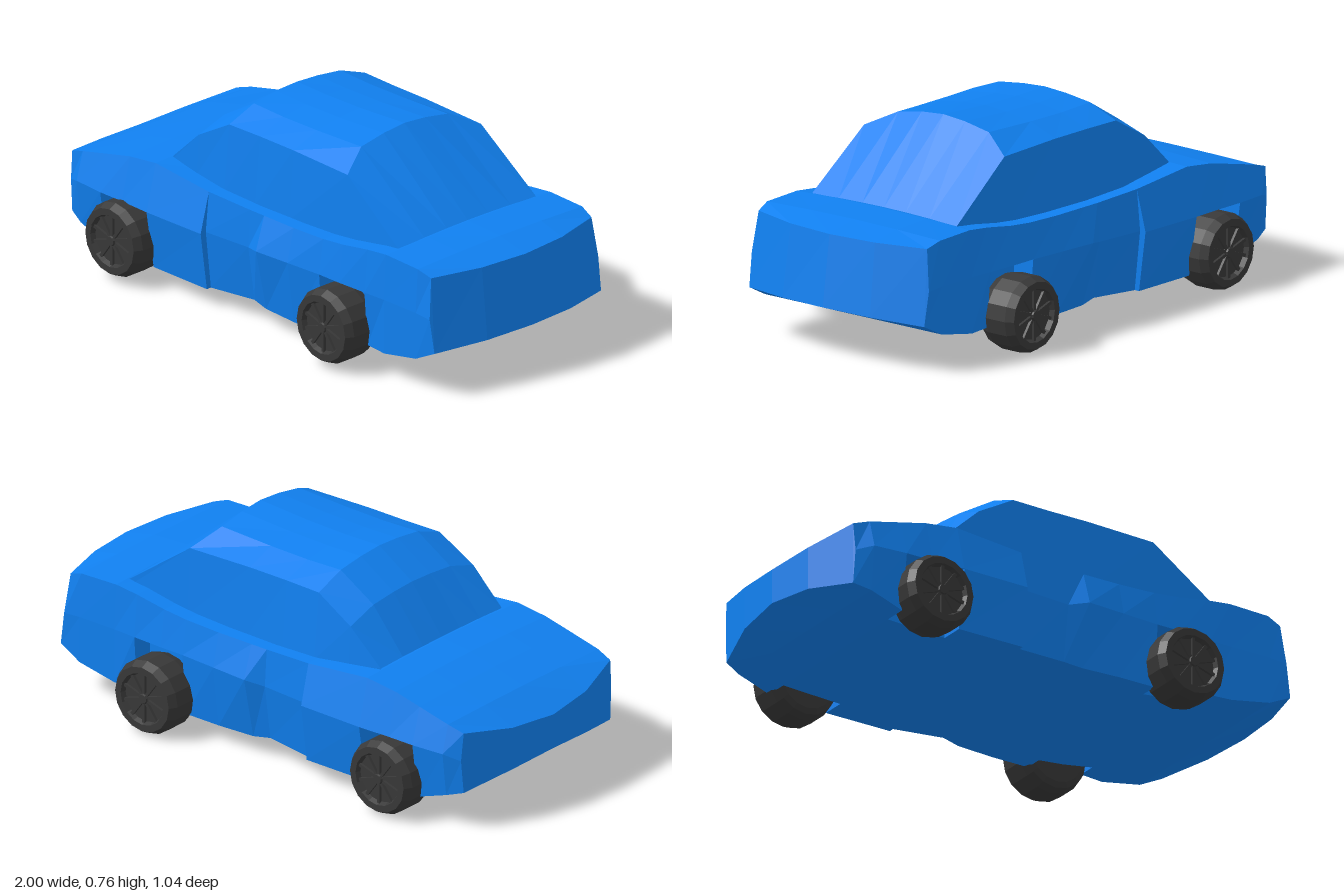
import * as THREE from 'three';

const blue = new THREE.MeshStandardMaterial({ color: 0x1080f0, flatShading: true });
const dark = new THREE.MeshStandardMaterial({ color: 0x383838, flatShading: true });

// Builds a faceted mesh from quads given as four corners, counter-clockwise.
function meshFromQuads(name, quads, material) {
  const pos = [];
  for (const [a, b, c, d] of quads) {
    for (const p of [a, b, c, a, c, d]) pos.push(...p);
  }
  const geometry = new THREE.BufferGeometry();
  geometry.setAttribute('position', new THREE.Float32BufferAttribute(pos, 3));
  geometry.computeVertexNormals();
  const mesh = new THREE.Mesh(geometry, material);
  mesh.name = name;
  return mesh;
}

const flip = ([x, y, z]) => [x, y, -z];

// Skins half cross-sections (running upwards on +z) and mirrors them to -z.
function loftHalf(rings) {
  const quads = [];
  for (let i = 0; i < rings.length - 1; i++) {
    for (let j = 0; j < rings[i].length - 1; j++) {
      quads.push([rings[i][j], rings[i + 1][j], rings[i + 1][j + 1], rings[i][j + 1]]);
    }
  }
  return quads;
}
const mirrored = (quads) => [...quads, ...quads.map((q) => q.map(flip).reverse())];

// Closes an end by joining the lower half of a ring to its upper half.
function capHalf(ring, reverse) {
  const quads = [];
  const last = ring.length - 1;
  for (let i = 0; i < last / 2 - 0.5; i++) {
    const q = [ring[i], ring[i + 1], ring[last - i - 1], ring[last - i]];
    quads.push(reverse ? q.reverse() : q);
  }
  return quads;
}

// One body section; arch narrows everything below the waist for a wheel well.
function bodyRing({ x, top, crown = 0, wTop, wMid, wBot, bot, belly = 0, waist = 0.3, arch = false, bow = 0, lean = 0 }) {
  const low = arch ? 0.33 : wBot;
  const inner = arch ? 0.33 : wMid;
  const half = [
    [bot + belly, 0], [bot + belly * 0.7, low * 0.5], [bot, low], [waist, inner],
    [waist, wMid], [top, wTop], [top + crown * 0.7, wTop * 0.5], [top + crown, 0],
  ];
  return half.map(([y, z]) => [x + bow * (1 - (z / wMid) ** 2) + lean * (top - y), y, z]);
}

function createBody() {
  const front = { wTop: 0.41, wMid: 0.45, wBot: 0.42, waist: 0.29 };
  const rear = { wTop: 0.4, wMid: 0.42, wBot: 0.4, waist: 0.305 };
  const sections = [
    // nose and bonnet
    { x: -0.92, top: 0.375, crown: -0.045, wTop: 0.4, wMid: 0.41, wBot: 0.4, bot: 0.145, belly: 0.055, waist: 0.27, bow: -0.08 },
    { ...front, x: -0.86, top: 0.395, crown: 0.005, wMid: 0.44, bot: 0.125 },
    { ...front, x: -0.73, top: 0.425, crown: 0.01, bot: 0.08 },
    { ...front, x: -0.73, top: 0.425, crown: 0.01, bot: 0.08, arch: true },
    { ...front, x: -0.62, top: 0.45, crown: 0.01, bot: 0.075, arch: true },
    { ...front, x: -0.49, top: 0.465, crown: 0.01, wMid: 0.455, bot: 0.07, arch: true },
    { ...front, x: -0.49, top: 0.465, crown: 0.01, wMid: 0.455, bot: 0.07 },
    // doors
    { ...front, x: -0.22, top: 0.44, wMid: 0.45, bot: 0.07 },
    { ...front, x: -0.22, top: 0.44, wMid: 0.425, wBot: 0.4, bot: 0.07 },
    { ...front, x: -0.02, top: 0.43, wTop: 0.4, wMid: 0.41, wBot: 0.38, bot: 0.08 },
    { ...rear, x: 0.05, top: 0.43, wMid: 0.44, wBot: 0.39, bot: 0.07 },
    { ...rear, x: 0.2, top: 0.43, wMid: 0.43, bot: 0.07 },
    // rear wheels and boot
    { ...rear, x: 0.35, top: 0.435, bot: 0.07 },
    { ...rear, x: 0.35, top: 0.435, bot: 0.07, arch: true },
    { ...rear, x: 0.45, top: 0.445, bot: 0.08, arch: true },
    { ...rear, x: 0.575, top: 0.465, wMid: 0.415, bot: 0.1, arch: true },
    { ...rear, x: 0.575, top: 0.465, wMid: 0.415, bot: 0.1 },
    { ...rear, x: 0.67, top: 0.475, crown: 0.01, wMid: 0.41, wBot: 0.41, bot: 0.1 },
    { ...rear, x: 0.83, top: 0.47, crown: 0.008, wMid: 0.41, wBot: 0.41, bot: 0.13 },
    { x: 0.88, top: 0.45, wTop: 0.39, wMid: 0.41, wBot: 0.405, bot: 0.175, belly: 0.015, bow: 0.08, lean: 0.14 },
  ];
  const rings = sections.map(bodyRing);
  const quads = [...loftHalf(rings), ...capHalf(rings[0], false), ...capHalf(rings.at(-1), true)];
  return meshFromQuads('body', mirrored(quads), blue);
}

function createCabin() {
  // x, base y, base width, eave y, eave width, eave shift in x, roof y, crown y
  const sections = [
    [-0.485, 0.46, 0.33, 0.47, 0.33, 0, 0.474, 0.476],
    [-0.35, 0.445, 0.345, 0.595, 0.335, 0, 0.635, 0.65],
    [-0.2, 0.43, 0.355, 0.68, 0.33, 0, 0.725, 0.745],
    [-0.05, 0.42, 0.35, 0.68, 0.325, 0, 0.72, 0.742],
    [0.12, 0.42, 0.345, 0.68, 0.325, 0, 0.722, 0.745],
    [0.345, 0.42, 0.34, 0.672, 0.325, 0.05, 0.73, 0.758],
    [0.665, 0.45, 0.335, 0.475, 0.335, 0, 0.482, 0.486],
  ];
  const rings = sections.map(([x, by, bw, ey, ew, dx, ry, cy]) => [
    [x + dx, by, bw], [x + dx, ey, ew], [x, ry, 0.21], [x, ry * 0.3 + cy * 0.7, 0.1], [x, cy, 0],
  ]);
  return meshFromQuads('cabin', mirrored(loftHalf(rings)), blue);
}

// A wheel whose outer face points to +z; its outermost plane lies at z = 0.
function createWheel(name) {
  const wheel = new THREE.Group();
  wheel.name = name;
  const profile = [
    [0, -0.155], [0.11, -0.155], [0.13, -0.145], [0.139, -0.115], [0.139, -0.03],
    [0.123, 0], [0.098, 0], [0.09, -0.018], [0, -0.018],
  ].map(([r, y]) => new THREE.Vector2(r, y));
  const tyre = new THREE.Mesh(new THREE.LatheGeometry(profile, 16).rotateX(Math.PI / 2), dark);
  tyre.name = 'tyre';
  const hub = new THREE.Mesh(new THREE.CylinderGeometry(0.017, 0.024, 0.016, 10).rotateX(Math.PI / 2), dark);
  hub.name = 'hub';
  hub.position.z = -0.01;
  wheel.add(tyre, hub);
  for (let i = 0; i < 10; i++) {
    const geometry = new THREE.BoxGeometry(0.012, 0.08, 0.012);
    geometry.translate(0, 0.053, -0.014).rotateZ((i * Math.PI) / 5);
    const spoke = new THREE.Mesh(geometry, dark);
    spoke.name = 'spoke';
    wheel.add(spoke);
  }
  return wheel;
}

export function createModel() {
  const car = new THREE.Group();
  car.name = 'car';
  car.add(createBody(), createCabin());
  const wheels = [
    ['frontWheelLeft', -0.615, 0.157, 0.515],
    ['rearWheelLeft', 0.45, 0.157, 0.507],
    ['frontWheelRight', -0.615, 0.142, -0.507],
    ['rearWheelRight', 0.45, 0.139, -0.522],
  ];
  for (const [name, x, y, z] of wheels) {
    const wheel = createWheel(name);
    wheel.position.set(x, y, z);
    if (z < 0) wheel.rotation.y = Math.PI;
    car.add(wheel);
  }
  return car;
}
